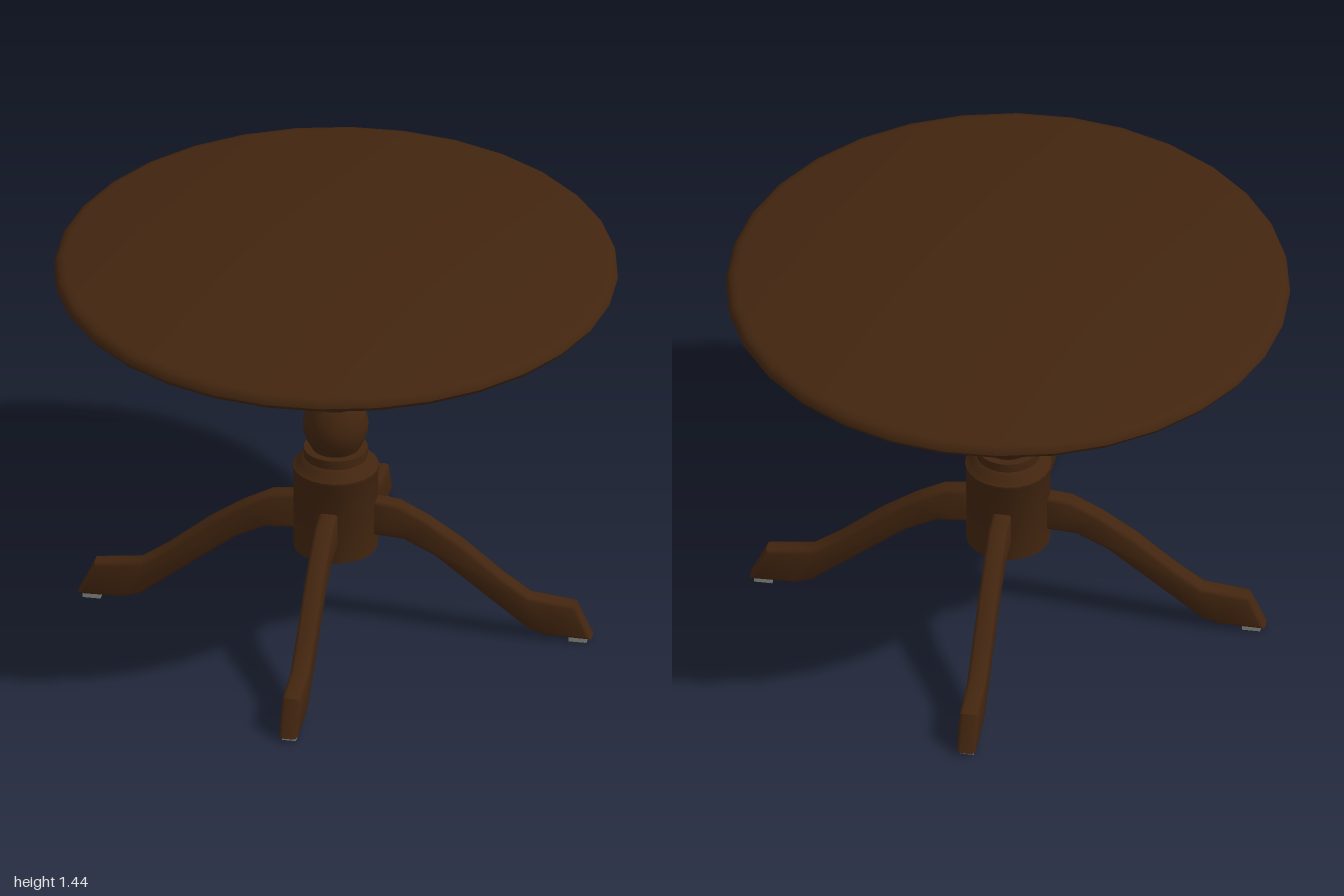
import * as THREE from 'three';
import { toCreasedNormals } from 'three/addons/utils/BufferGeometryUtils.js';

const wood = new THREE.MeshStandardMaterial({ color: 0x42250f });
wood.name = 'dark wood';
const metal = new THREE.MeshStandardMaterial({ color: 0x85857f });
metal.name = 'grey metal';

function part(name, geometry, material) {
  const mesh = new THREE.Mesh(geometry, material);
  mesh.name = name;
  return mesh;
}

// Turned part from [radius, height] pairs, listed bottom to top
function turned(name, profile, segments, crease = 0.65) {
  const points = profile.map(([r, y]) => new THREE.Vector2(r, y));
  const geometry = new THREE.LatheGeometry(points, segments);
  return part(name, toCreasedNormals(geometry, crease), wood);
}

// Side outline of a leg, running outward along x, with softened edges
function legGeometry() {
  const outline = [
    [0.09, 0.365], [0.25, 0.355], [0.36, 0.30], [0.70, 0.035], [0.76, 0.017],
    [0.925, 0.015], [0.865, 0.145], [0.70, 0.165], [0.60, 0.235],
    [0.455, 0.355], [0.335, 0.435], [0.23, 0.49], [0.09, 0.505],
  ];
  const width = 0.068, bevel = 0.014;
  const shape = new THREE.Shape(outline.map(([x, y]) => new THREE.Vector2(x, y)));
  const geometry = new THREE.ExtrudeGeometry(shape, {
    depth: width - 2 * bevel, bevelEnabled: true, bevelThickness: bevel,
    bevelSize: bevel, bevelOffset: -bevel, bevelSegments: 2,
  });
  geometry.translate(0, 0, -width / 2 + bevel);
  return toCreasedNormals(geometry, 0.85);
}

export function createModel() {
  const table = new THREE.Group();
  table.name = 'pedestalTable';

  // Round top with a rounded rim
  table.add(turned('tableTop', [
    [0, 1.38], [0.965, 1.38], [0.99, 1.388], [1, 1.403],
    [0.996, 1.42], [0.982, 1.434], [0.96, 1.44], [0, 1.44],
  ], 32, 0.8));

  const base = new THREE.Group();
  base.name = 'base';
  base.position.set(-0.005, 0, 0.004);
  table.add(base);

  // Mounting plate under the top
  base.add(turned('mountingPlate', [
    [0, 1.347], [0.298, 1.347], [0.306, 1.382], [0, 1.382],
  ], 28));

  // Turned column: hub, collar, two balls, flared capital
  base.add(turned('hub', [
    [0, 0.3], [0.15, 0.3], [0.15, 0.605], [0.153, 0.61], [0.153, 0.622],
    [0.132, 0.638], [0.122, 0.655], [0.114, 0.66], [0.114, 0.694], [0, 0.694],
  ], 24));
  for (const y of [0.694, 0.877]) {
    base.add(turned('ball', [
      [0.085, y], [0.103, y + 0.035], [0.115, y + 0.07], [0.116, y + 0.105],
      [0.105, y + 0.15], [0.087, y + 0.184],
    ], 24));
  }
  base.add(turned('capital', [
    [0, 1.06], [0.114, 1.06], [0.118, 1.09], [0.126, 1.115], [0.14, 1.122],
    [0.146, 1.138], [0.14, 1.148], [0.156, 1.152], [0.157, 1.18],
    [0.151, 1.348], [0, 1.348],
  ], 24));

  // Four legs with foot pads, and four bolts in the plate
  const leg = legGeometry();
  const pad = new THREE.BoxGeometry(0.065, 0.017, 0.05);
  const bolt = new THREE.CylinderGeometry(0.03, 0.03, 0.016, 6);
  for (let i = 0; i < 4; i++) {
    const arm = new THREE.Group();
    arm.name = 'legAssembly';
    arm.rotation.y = -0.915 + i * Math.PI / 2;
    const footPad = part('footPad', pad, metal);
    footPad.position.set(0.875, 0.0085, 0);
    arm.add(part('leg', leg, wood), footPad);
    base.add(arm);

    const angle = 0.67 + i * Math.PI / 2;
    const head = part('plateBolt', bolt, metal);
    head.position.set(0.24 * Math.cos(angle), 1.341, -0.24 * Math.sin(angle));
    base.add(head);
  }
  return table;
}
